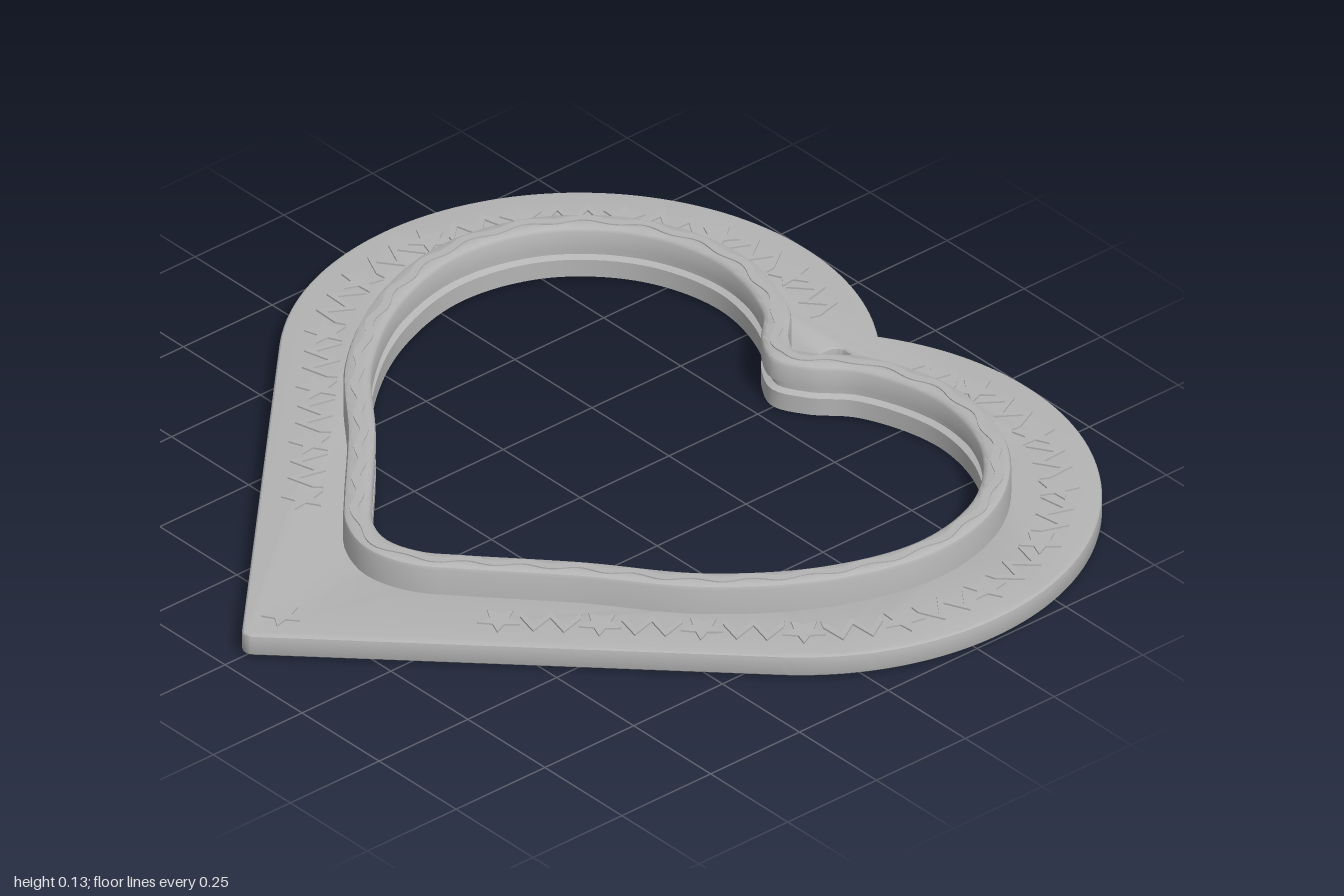
import * as THREE from 'three';
import { mergeGeometries, toCreasedNormals } from 'three/addons/utils/BufferGeometryUtils.js';

// Everything is drawn flat in (x, -z) and then laid down, so that height becomes y.
const R = 0.64, CX = 0.36, CY = 0.31;        // lobes of the outer heart
const BASE = 0.004, TOP = 0.056, RIM = 0.13; // heights
const RELIEF = 0.004;

// Right half of the heart opening, from the bottom tip to the upper notch
const HALF = [[0, -0.54], [0.08, -0.515], [0.14, -0.465], [0.335, -0.285], [0.54, -0.115],
  [0.685, 0.095], [0.742, 0.315], [0.69, 0.51], [0.548, 0.65], [0.355, 0.702],
  [0.16, 0.65], [0.075, 0.575], [0, 0.54]];

function openingCurve() {
  const left = HALF.slice(1, -1).reverse().map(([x, y]) => [-x, y]);
  return new THREE.CatmullRomCurve3(
    [...HALF, ...left].map(([x, y]) => new THREE.Vector3(x, y, 0)), true);
}

// Points on the opening, moved outward by an amount that may vary along the way
function offsetLoop(curve, n, offset) {
  const pts = [];
  for (let i = 0; i < n; i++) {
    const p = curve.getPointAt(i / n), t = curve.getTangentAt(i / n);
    const o = typeof offset === 'function' ? offset(i / n) : offset;
    pts.push(new THREE.Vector2(p.x + t.y * o, p.y - t.x * o));
  }
  return pts;
}

function outerHeart() {
  const notch = Math.acos(-CX / R), s = new THREE.Shape();
  s.moveTo(0.02, -0.935);
  s.absarc(CX, CY, R, -Math.PI / 4, notch, false);
  s.absarc(-CX, CY, R, Math.PI - notch, Math.PI * 1.25, false);
  s.lineTo(-0.02, -0.935);
  s.quadraticCurveTo(0, -0.955, 0.02, -0.935);
  return s;
}

// Sweep a closed (outward, height) profile around the opening
function sweep(curve, n, profile) {
  const m = profile.length, pos = [], idx = [];
  const loops = profile.map(([o]) => offsetLoop(curve, n, o));
  for (let i = 0; i < n; i++) {
    for (let j = 0; j < m; j++) {
      pos.push(loops[j][i].x, loops[j][i].y, profile[j][1]);
      const i2 = (i + 1) % n, j2 = (j + 1) % m;
      const a = i * m + j, b = i2 * m + j, c = i2 * m + j2, d = i * m + j2;
      idx.push(a, b, c, a, c, d);
    }
  }
  const g = new THREE.BufferGeometry();
  g.setAttribute('position', new THREE.Float32BufferAttribute(pos, 3));
  g.setIndex(idx);
  return g;
}

function starShape(r) {
  const pts = [];
  for (let i = 0; i < 10; i++) {
    const a = Math.PI / 2 + i * Math.PI / 5, q = i % 2 ? r * 0.45 : r;
    pts.push(new THREE.Vector2(Math.cos(a) * q, Math.sin(a) * q));
  }
  return new THREE.Shape(pts);
}

// Zigzag ribbon along x
function zigzagShape(length, height, width) {
  const up = [], down = [];
  for (let i = 0; i <= 4; i++) {
    const x = (i / 4 - 0.5) * length, y = (i % 2 ? 1 : -1) * height / 2;
    up.push(new THREE.Vector2(x, y + width / 2));
    down.unshift(new THREE.Vector2(x, y - width / 2));
  }
  return new THREE.Shape([...down.reverse(), ...up.reverse()]);
}

const raise = (shape) => new THREE.ExtrudeGeometry(shape,
  { depth: RELIEF, bevelEnabled: false, curveSegments: 16 });

// Stars and zigzags alternate along the middle of the border, mirrored left to right
function borderOrnaments() {
  const r = 0.545, a0 = 1.98, arc = r * (a0 + Math.PI / 4), line = 0.66, count = 20;
  const parts = [];
  for (let i = 0; i < count; i++) {
    const d = (i + 0.5) / count * (arc + line);
    const a = Math.max(a0 - d / r, -Math.PI / 4), rest = Math.max(d - arc, 0);
    const x = CX + Math.cos(a) * r - rest * Math.SQRT1_2;
    const y = CY + Math.sin(a) * r - rest * Math.SQRT1_2;
    for (const side of [1, -1]) {
      const g = raise(i % 2 ? starShape(0.048) : zigzagShape(0.13, 0.055, 0.024));
      g.rotateZ(side * (a - Math.PI / 2)).translate(side * x, y, 0);
      parts.push(g);
    }
  }
  parts.push(raise(starShape(0.045)).translate(0, -0.84, 0));
  return mergeGeometries(parts);
}

export function createModel() {
  const group = new THREE.Group();
  const grey = new THREE.MeshStandardMaterial({ color: 0xb4b4b4 });
  grey.name = 'grey';
  const curve = openingCurve();
  curve.arcLengthDivisions = 800;

  const add = (name, geometry, y = 0) => {
    const mesh = new THREE.Mesh(geometry.rotateX(-Math.PI / 2), grey);
    mesh.name = name;
    mesh.position.y = y;
    group.add(mesh);
  };

  // Flat heart border with the opening and the hanging hole
  const plate = outerHeart();
  plate.holes.push(new THREE.Path(offsetLoop(curve, 160, 0.03).reverse()));
  plate.holes.push(new THREE.Path().absarc(0, 0.72, 0.03, 0, Math.PI * 2, true));
  const bevel = 0.008;
  add('heartPlate', toCreasedNormals(new THREE.ExtrudeGeometry(plate, {
    depth: TOP - BASE - 2 * bevel, bevelThickness: bevel, bevelSize: bevel,
    bevelOffset: -bevel, bevelSegments: 3, curveSegments: 56,
  }), 0.5), BASE + bevel);

  // Raised rim with rounded top edges and a groove on the inside
  add('raisedRim', toCreasedNormals(sweep(curve, 240, [
    [0, BASE], [0.06, BASE], [0.06, 0.116], [0.057, 0.123], [0.05, 0.127],
    [0.012, 0.127], [0.004, 0.123], [0, 0.116], [0, 0.074], [0.014, 0.068],
    [0.014, 0.052], [0, 0.046],
  ]), 0.6));

  // Wavy band on top of the rim
  const wave = (base) => (t) => base + 0.006 * Math.cos(t * Math.PI * 2 * 36);
  const band = new THREE.Shape(offsetLoop(curve, 432, wave(0.04)));
  band.holes.push(new THREE.Path(offsetLoop(curve, 432, wave(0.022)).reverse()));
  add('wavyBand', raise(band), RIM - RELIEF);

  // Shallow relief on the top and the underside
  add('topOrnaments', borderOrnaments(), TOP);
  add('undersideOrnaments', borderOrnaments(), 0);
  return group;
}
